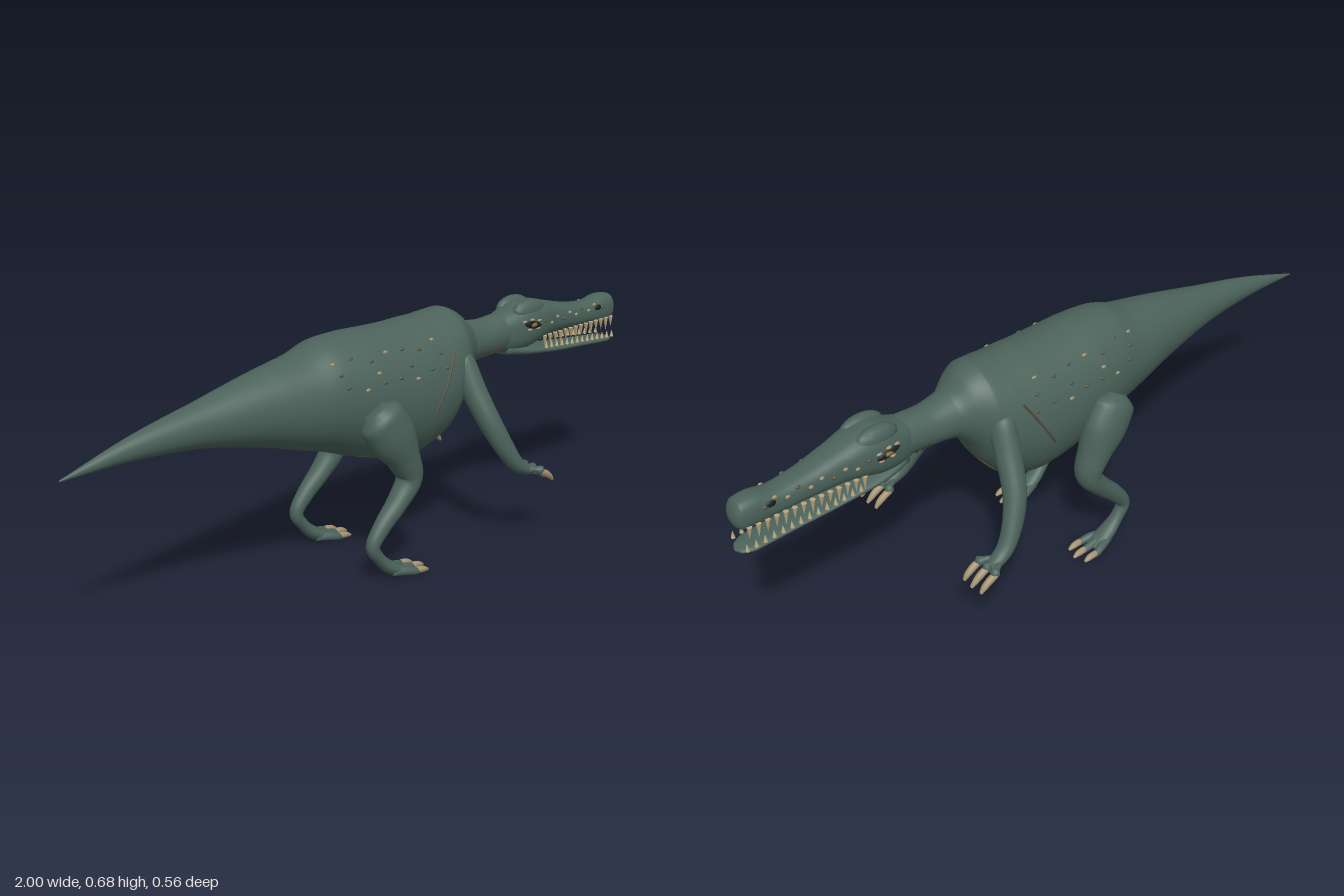
import * as THREE from 'three';

const mat = (name, color) => Object.assign(new THREE.MeshStandardMaterial({ color }), { name });
const V = (x, y, z) => new THREE.Vector3(x, y, z);

// Profile rows: x, top, bottom, half width
const BODY = [
  [-1, 0.472, 0.468, 0.002], [-0.8, 0.535, 0.473, 0.027], [-0.6, 0.58, 0.46, 0.055],
  [-0.4, 0.625, 0.417, 0.092], [-0.27, 0.65, 0.378, 0.118], [-0.2, 0.673, 0.358, 0.132],
  [-0.1, 0.679, 0.322, 0.148], [0, 0.676, 0.295, 0.155], [0.1, 0.677, 0.282, 0.156],
  [0.2, 0.682, 0.315, 0.146], [0.26, 0.686, 0.385, 0.126], [0.3, 0.668, 0.455, 0.095],
  [0.345, 0.63, 0.497, 0.066], [0.42, 0.62, 0.505, 0.055], [0.5, 0.626, 0.51, 0.052],
  [0.56, 0.62, 0.52, 0.03],
];
const HEAD = [
  [0.46, 0.612, 0.515, 0.04], [0.52, 0.632, 0.503, 0.058], [0.58, 0.652, 0.505, 0.067],
  [0.64, 0.646, 0.52, 0.064], [0.7, 0.63, 0.53, 0.054], [0.8, 0.607, 0.53, 0.044],
  [0.88, 0.6, 0.527, 0.039], [0.94, 0.612, 0.522, 0.039], [0.98, 0.609, 0.525, 0.036],
  [0.994, 0.592, 0.538, 0.025], [1, 0.568, 0.56, 0.004],
];
const JAW = [
  [0.5, 0.535, 0.5, 0.045], [0.58, 0.518, 0.488, 0.058], [0.7, 0.497, 0.474, 0.05],
  [0.85, 0.482, 0.463, 0.04], [0.96, 0.475, 0.455, 0.036], [0.99, 0.469, 0.457, 0.022],
  [1, 0.464, 0.461, 0.003],
];
const BOXY = 0.8;

// Smooth skin over sections [x, y, z, ru, rv]; fixed = rings stay upright across x
function loft(rows, { fixed = false, seg = 24, step = 5, power = 1, second } = {}) {
  const path = new THREE.CatmullRomCurve3(rows.map(r => V(r[0], r[1], r[2])));
  const size = new THREE.CatmullRomCurve3(rows.map(r => V(r[3], r[4], 0)));
  const n = (rows.length - 1) * step, pos = [], first = [], other = [];
  const bend = c => Math.sign(c) * Math.abs(c) ** power;
  for (let i = 0; i <= n; i++) {
    const c = path.getPoint(i / n), s = size.getPoint(i / n);
    const t = fixed ? V(1, 0, 0) : path.getTangent(i / n);
    const v = V(0, 0, 1).addScaledVector(t, -t.z).normalize();
    const u = v.clone().cross(t);
    for (let j = 0; j < seg; j++) {
      const a = (j / seg) * Math.PI * 2;
      const p = c.clone().addScaledVector(u, bend(Math.cos(a)) * Math.max(s.x, 0.001))
        .addScaledVector(v, bend(Math.sin(a)) * Math.max(s.y, 0.001));
      pos.push(p.x, p.y, p.z);
    }
  }
  const at = k => V(pos[3 * k], pos[3 * k + 1], pos[3 * k + 2]);
  for (let i = 0; i < n; i++) for (let j = 0; j < seg; j++) {
    const a = i * seg + j, b = i * seg + (j + 1) % seg, c = a + seg, d = b + seg;
    const mid = at(a).add(at(d)).multiplyScalar(0.5);
    (second && second(mid) ? other : first).push(a, b, c, b, d, c);
  }
  // end caps
  for (let j = 1; j < seg - 1; j++) {
    first.push(0, j + 1, j);
    first.push(n * seg, n * seg + j, n * seg + j + 1);
  }
  const g = new THREE.BufferGeometry();
  g.setAttribute('position', new THREE.Float32BufferAttribute(pos, 3));
  g.setIndex([...first, ...other]);
  g.addGroup(0, first.length, 0);
  if (other.length) g.addGroup(first.length, other.length, 1);
  g.computeVertexNormals();
  return g;
}
const profile = rows => rows.map(([x, t, b, w]) => [x, (t + b) / 2, 0, (t - b) / 2, w]);

// Point on the side of a profile at x, y
function onSkin(rows, x, y, s, power = 1) {
  const i = Math.max(1, rows.findIndex(r => r[0] >= x));
  const f = (x - rows[i - 1][0]) / (rows[i][0] - rows[i - 1][0]);
  const [, t, b, w] = rows[i].map((q, k) => THREE.MathUtils.lerp(rows[i - 1][k], q, f));
  const k = Math.min(1, Math.abs((y - (t + b) / 2) / ((t - b) / 2)));
  return V(x, y, s * w * (1 - k ** (2 / power)) ** (power / 2));
}

export function createModel() {
  const root = new THREE.Group();
  root.name = 'dinosaur';
  const skin = mat('skin green', 0x4b625a), belly = mat('belly tan', 0x8a7658);
  const claw = mat('claw tan', 0xa3906f), tooth = mat('tooth ivory', 0xb9a780);
  const dark = mat('dark', 0x1b2122), wart = mat('wart olive', 0x55573f);
  const scarBrown = mat('scar brown', 0x54463a), amber = mat('eye amber', 0x8a6a35);

  const add = (name, geo, m) => {
    const mesh = new THREE.Mesh(geo, m);
    mesh.name = name;
    root.add(mesh);
    return mesh;
  };
  const blob = (name, m, p, rx, ry = rx, rz = rx) => {
    const mesh = add(name, new THREE.SphereGeometry(1, 14, 10), m);
    mesh.position.copy(p);
    mesh.scale.set(rx, ry, rz);
    return mesh;
  };
  const spike = (name, m, r, from, to) => {
    const d = to.clone().sub(from);
    const mesh = add(name, new THREE.ConeGeometry(r, d.length(), 8), m);
    mesh.position.copy(from).addScaledVector(d, 0.5);
    mesh.quaternion.setFromUnitVectors(V(0, 1, 0), d.normalize());
  };
  const line = (name, points, r) =>
    add(name, new THREE.TubeGeometry(new THREE.CatmullRomCurve3(points), 16, r, 6), scarBrown);

  // Torso, tail and neck, with a belly patch that narrows up the chest
  const onBelly = p => p.x > -0.1 && p.x < 0.27 && p.y < 0.385 &&
    Math.abs(p.z) < (p.x > 0.15 ? Math.min(0.052, 0.024 + (0.385 - p.y) * 0.6) : 0.052);
  add('body', loft(profile(BODY), { fixed: true, seg: 96, step: 12, second: onBelly }), [skin, belly]);

  // Head and jaw
  add('head', loft(profile(HEAD), { fixed: true, seg: 32, power: BOXY }), skin);
  add('lowerJaw', loft(profile(JAW), { fixed: true, power: BOXY }), skin);

  for (const s of [1, -1]) {
    // Brow, eye and nostril
    blob('brow', skin, V(0.59, 0.625, s * 0.033), 0.065, 0.034, 0.026);
    const eye = onSkin(HEAD, 0.578, 0.588, s, BOXY);
    blob('eyeSocket', dark, eye, 0.036, 0.011, 0.006).rotation.z = -0.2;
    blob('eye', amber, eye, 0.016, 0.008, 0.009);
    for (const [x, y] of [[0.548, 0.6], [0.575, 0.603], [0.605, 0.597], [0.565, 0.574], [0.6, 0.574]])
      blob('eyelidBump', claw, onSkin(HEAD, x, y, s, BOXY), 0.009, 0.004, 0.006);
    blob('nostril', dark, onSkin(HEAD, 0.905, 0.58, s, BOXY), 0.014, 0.009, 0.004);

    // Teeth
    for (let i = 0; i < 14; i++) {
      const x = 0.645 + i * 0.025, len = i % 3 ? 0.024 : 0.032;
      const w = THREE.MathUtils.lerp(0.053, 0.035, i / 13) * s;
      spike('upperTooth', tooth, 0.0075, V(x, 0.541, w), V(x + 0.003, 0.53 - len, w));
      const y = THREE.MathUtils.lerp(0.5, 0.472, i / 13);
      spike('lowerTooth', tooth, 0.006, V(x + 0.012, y, w * 0.95), V(x + 0.012, y + 0.022, w * 0.95));
    }

    // Warts on the face and flanks
    for (let i = 0; i < 10; i++) {
      const p = onSkin(HEAD, 0.635 + i * 0.032, 0.59 - (i % 2) * 0.012, s, BOXY);
      blob('faceWart', i % 3 ? claw : wart, p, 0.007, 0.005, 0.004);
    }
    for (let row = 0; row < 3; row++) for (let i = 0; i < 7; i++) {
      const x = -0.22 + i * 0.058 + row * 0.012, y = 0.625 - row * 0.034 + 0.008 * Math.sin(i * 2.3 + row);
      if (row === 1 && i % 2) continue;
      blob('flankWart', (i + row) % 3 ? wart : claw, onSkin(BODY, x, y, s), 0.008, 0.005, 0.004);
    }

    // Scar behind the arm and creases on the throat
    line('scar', [0, 1, 2, 3, 4].map(i => onSkin(BODY, 0.1 + i * 0.0225, 0.44 + i * 0.0375, s)), 0.0035);
    for (const x of [0.432, 0.452, 0.472])
      line('throatCrease', [0.522, 0.532, 0.542].map((y, i) => onSkin(BODY, x + i * 0.004, y, s)), 0.0035);

    // Arm
    add('arm', loft([
      [0.235, 0.575, s * 0.085, 0.015, 0.02], [0.245, 0.54, s * 0.105, 0.036, 0.04],
      [0.255, 0.47, s * 0.141, 0.036, 0.037], [0.275, 0.38, s * 0.19, 0.033, 0.033],
      [0.305, 0.31, s * 0.217, 0.029, 0.028], [0.345, 0.25, s * 0.231, 0.022, 0.025],
      [0.385, 0.225, s * 0.235, 0.016, 0.021], [0.405, 0.214, s * 0.235, 0.006, 0.012],
    ]), skin);
    // Fingers and claws
    for (const k of [-1, 0, 1]) {
      const z = s * (0.234 + k * 0.035), tip = 0.463 - Math.abs(k) * 0.004;
      add('finger', loft([
        [0.375, 0.23, s * (0.235 + k * 0.012), 0.009, 0.009], [0.398, 0.229, s * (0.235 + k * 0.026), 0.009, 0.009],
        [0.414, 0.222, z, 0.009, 0.009], [0.422, 0.215, z, 0.006, 0.006],
      ], { seg: 10, step: 3 }), skin);
      add('fingerClaw', loft([
        [0.402, 0.226, z, 0.005, 0.006], [0.41, 0.221, z, 0.01, 0.0105], [0.43, 0.211, z, 0.0105, 0.0105],
        [0.448, 0.198, z, 0.008, 0.009], [tip, 0.185, z, 0.004, 0.005],
      ], { seg: 12, step: 3 }), claw);
    }

    // Leg
    add('leg', loft([
      [-0.125, 0.494, s * 0.145, 0.03, 0.03], [-0.107, 0.465, s * 0.153, 0.07, 0.054],
      [-0.075, 0.415, s * 0.16, 0.071, 0.053], [-0.035, 0.345, s * 0.162, 0.05, 0.046],
      [-0.012, 0.28, s * 0.163, 0.036, 0.04], [-0.055, 0.22, s * 0.165, 0.029, 0.032],
      [-0.115, 0.16, s * 0.166, 0.025, 0.024], [-0.148, 0.11, s * 0.166, 0.02, 0.02],
      [-0.125, 0.07, s * 0.166, 0.017, 0.02], [-0.085, 0.033, s * 0.166, 0.019, 0.027],
      [-0.045, 0.018, s * 0.166, 0.013, 0.028], [-0.025, 0.012, s * 0.166, 0.005, 0.014],
    ]), skin);
    // Toes and claws
    for (const k of [-1, 0, 1]) {
      const z = s * (0.166 + k * 0.034), x = k ? 0 : 0.012;
      add('toe', loft([
        [-0.085, 0.022, s * (0.166 + k * 0.012), 0.012, 0.012], [-0.045, 0.019, s * (0.166 + k * 0.026), 0.013, 0.013],
        [x - 0.015, 0.012, z, 0.01, 0.011], [x - 0.002, 0.01, z, 0.006, 0.006],
      ], { seg: 10, step: 3 }), skin);
      add('toeClaw', loft([
        [x - 0.02, 0.014, z, 0.006, 0.007], [x - 0.008, 0.013, z, 0.01, 0.01],
        [x + 0.01, 0.011, z, 0.009, 0.0095], [x + 0.028, 0.005, z, 0.004, 0.004],
      ], { seg: 12, step: 3 }), claw);
    }
  }
  return root;
}
